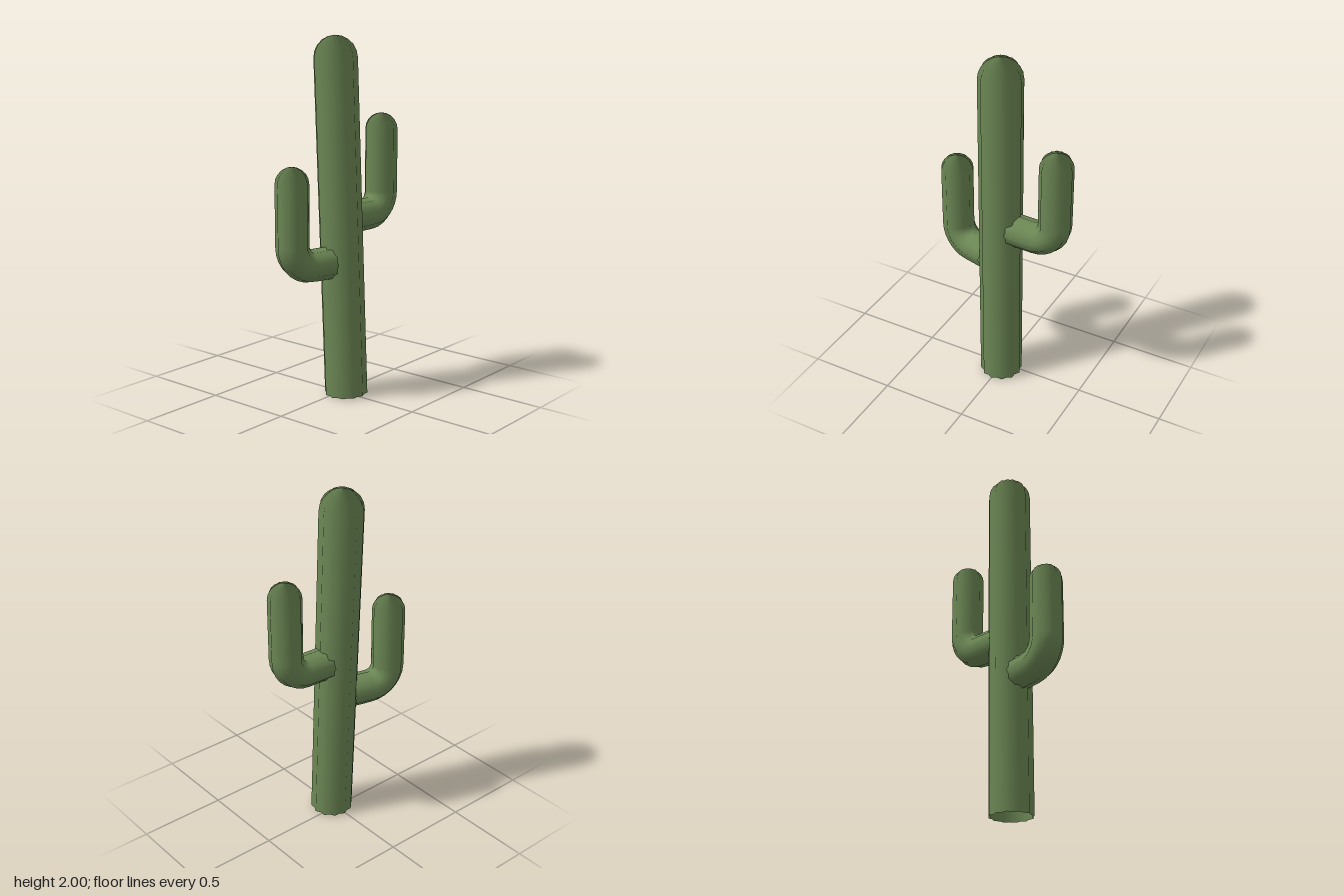
import * as THREE from 'three';

const RIBS = 12;
const V = (x, y, z) => new THREE.Vector3(x, y, z);

// Ribbed tube swept through stations {p: centre, t: direction, s: scale}
function ribbedTube(stations, radius, side) {
  const n = RIBS * 2, pos = [], nor = [], idx = [];
  stations.forEach(({ p, t, s }) => {
    const u = side.clone().addScaledVector(t, -side.dot(t)).normalize();
    const v = t.clone().cross(u).normalize();
    for (let j = 0; j <= n; j++) {
      const a = (j / n) * Math.PI * 2;
      const r = radius * s * (j % 2 ? 0.895 : 1); // ridge, valley, ridge...
      const d = u.clone().multiplyScalar(Math.cos(a)).addScaledVector(v, Math.sin(a));
      nor.push(d.x, d.y, d.z);
      pos.push(p.x + d.x * r, p.y + d.y * r, p.z + d.z * r);
    }
  });
  for (let i = 0; i < stations.length - 1; i++) {
    for (let j = 0; j < n; j++) {
      const a = i * (n + 1) + j, b = a + 1, c = b + n + 1, d = a + n + 1;
      idx.push(a, b, c);
      if (i < stations.length - 2) idx.push(a, c, d);
    }
  }
  const g = new THREE.BufferGeometry();
  g.setAttribute('position', new THREE.Float32BufferAttribute(pos, 3));
  g.setAttribute('normal', new THREE.Float32BufferAttribute(nor, 3));
  g.setIndex(idx);
  return g;
}

// Rounded tip ending at `tip`, heading along t
function dome(tip, t, radius, steps = 5) {
  return Array.from({ length: steps + 1 }, (_, i) => {
    const a = (i / steps) * Math.PI / 2;
    return {
      p: tip.clone().addScaledVector(t, radius * (Math.sin(a) - 1)),
      t,
      s: i === steps ? 0 : Math.cos(a),
    };
  });
}

// Arm leaves the trunk level, bends upward and ends in a rounded tip
function armGeometry(start, tip) {
  const radius = 0.092, bend = 0.12, up = V(0, 1, 0);
  const out = V(tip.x - start.x, 0, tip.z - start.z).normalize();
  const corner = V(tip.x, start.y, tip.z).addScaledVector(out, -bend);
  const stations = [{ p: start, t: out, s: 1 }];
  for (let i = 0; i <= 7; i++) {
    const a = (i / 7) * Math.PI / 2;
    stations.push({
      p: corner.clone().addScaledVector(out, bend * Math.sin(a)).addScaledVector(up, bend * (1 - Math.cos(a))),
      t: out.clone().multiplyScalar(Math.cos(a)).addScaledVector(up, Math.sin(a)),
      s: 1,
    });
  }
  stations.push(...dome(tip, up, radius));
  return ribbedTube(stations, radius, out.clone().cross(up));
}

export function createModel() {
  const model = new THREE.Group();
  model.name = 'cactus';
  const green = new THREE.MeshStandardMaterial({ color: 0x6b8654, side: THREE.DoubleSide });
  green.name = 'cactus green';

  const add = (name, geometry) => {
    const mesh = new THREE.Mesh(geometry, green);
    mesh.name = name;
    model.add(mesh);
  };

  // Leaning trunk, open underneath
  const base = V(0.035, 0.004, -0.005), top = V(-0.019, 2, 0.027);
  const lean = top.clone().sub(base).normalize();
  add('trunk', ribbedTube([{ p: base, t: lean, s: 1 }, ...dome(top, lean, 0.121)], 0.121, V(1, 0, 0)));

  // Low arm at the front, higher arm at the back
  add('frontArm', armGeometry(V(-0.006, 0.768, 0.095), V(-0.065, 1.32, 0.326)));
  add('backArm', armGeometry(V(0.012, 1.0, -0.062), V(0.025, 1.56, -0.326)));

  return model;
}
